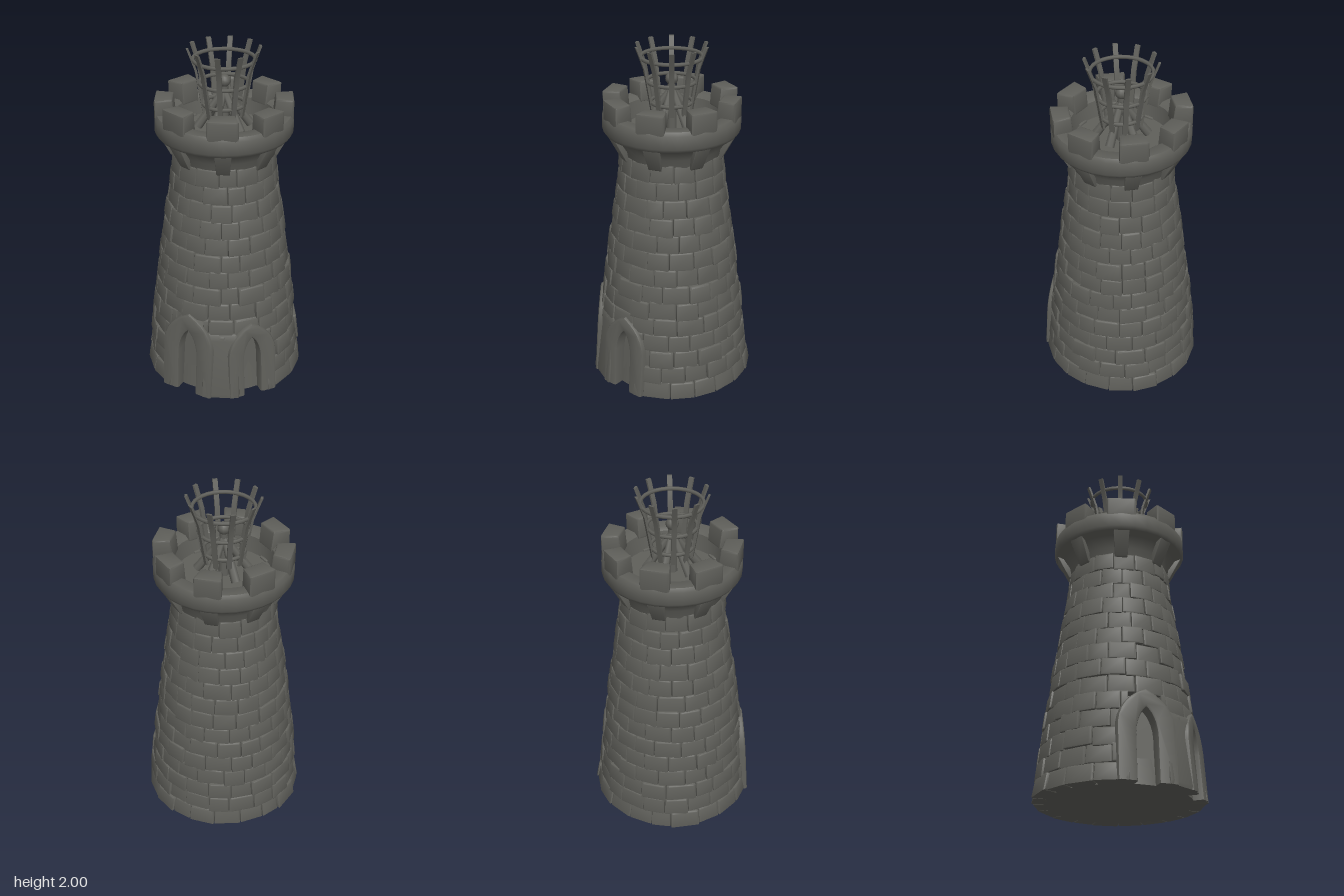
import * as THREE from 'three';
import { mergeGeometries, toCreasedNormals } from 'three/addons/utils/BufferGeometryUtils.js';

const stone = new THREE.MeshStandardMaterial({ color: 0x5f5f5a });
stone.name = 'dark stone';

const DEG = Math.PI / 180;
let seed = 7;
const rnd = () => ((seed = (seed * 16807) % 2147483647) / 2147483647);
const spread = (s) => (rnd() - 0.5) * 2 * s;

// Outer wall radius at a given height
const PROFILE = [[0, 0.475], [0.1, 0.457], [0.4, 0.425], [0.8, 0.374], [1.0, 0.345], [1.2, 0.312], [1.42, 0.289]];
function wallRadius(y) {
  for (let i = 1; i < PROFILE.length; i++) {
    const [y0, r0] = PROFILE[i - 1], [y1, r1] = PROFILE[i];
    if (y <= y1) return r0 + ((r1 - r0) * (y - y0)) / (y1 - y0);
  }
  return 0.289;
}

// Chamfered block bent around the tower axis (angle 0 faces +z, growing towards +x)
function curvedBlock(a0, a1, y0, y1, inner, outer, bevel = 0.12) {
  const geo = new THREE.BoxGeometry(2, 2, 2, 3, 3, 3);
  const p = geo.attributes.position;
  for (let i = 0; i < p.count; i++) {
    let c = [p.getX(i), p.getY(i), p.getZ(i)];
    const onEdge = c.filter((v) => Math.abs(v) > 0.9).length > 1;
    c = c.map((v) => Math.sign(v) * (Math.abs(v) > 0.9 ? (onEdge ? 1 - bevel * 0.45 : 1) : 1 - bevel * 1.6));
    const a = (a0 + a1) / 2 + (c[0] * (a1 - a0)) / 2;
    const y = (y0 + y1) / 2 + (c[1] * (y1 - y0)) / 2;
    const rOut = outer(y), rIn = inner(y);
    const r = (rIn + rOut) / 2 + (c[2] * (rOut - rIn)) / 2;
    p.setXYZ(i, r * Math.sin(a), Math.max(0, y), r * Math.cos(a));
  }
  return toCreasedNormals(geo, 0.75);
}

function addMesh(parent, name, geo) {
  const mesh = new THREE.Mesh(geo, stone);
  mesh.name = name;
  parent.add(mesh);
  return mesh;
}

const DOORS = [
  { name: 'frontDoorway', angle: 17 * DEG, outer: 0.15, inner: 0.072, top: 0.505, open: 0.43 },
  { name: 'sideDoorway', angle: 68 * DEG, outer: 0.135, inner: 0.065, top: 0.455, open: 0.4 },
];

// Courses of staggered bricks, cut away at the doorways
function brickWall() {
  const bricks = [];
  const rows = 14, h = 0.1;
  for (let row = 0; row < rows; row++) {
    const y0 = row * h, n = Math.round(20 - row * 0.35);
    const step = (Math.PI * 2) / n, shift = (row % 2) * 0.5 + spread(0.15);
    const cuts = Array.from({ length: n }, (_, i) => (i + shift + spread(0.16)) * step);
    const rough = 0.009 - row * 0.0004;
    for (let i = 0; i < n; i++) {
      let a0 = cuts[i], a1 = i < n - 1 ? cuts[i + 1] : cuts[0] + Math.PI * 2;
      const bump = spread(rough);
      const lift = spread(0.006);
      let pieces = [[a0, a1]];
      for (const d of DOORS) {
        if (y0 + 0.02 > d.open) continue;
        const half = (d.inner + 0.015) / 0.4;
        for (const turn of [0, Math.PI * 2]) {
          const lo = d.angle - half + turn, hi = d.angle + half + turn;
          pieces = pieces.flatMap(([s, e]) =>
            e <= lo || s >= hi ? [[s, e]] : [[s, Math.min(e, lo)], [Math.max(s, hi), e]]);
        }
      }
      for (const [s, e] of pieces) {
        if (e - s < 0.03) continue;
        bricks.push(curvedBlock(s, e, y0 + (row ? lift - 0.003 : 0), y0 + h + lift + 0.003,
          (y) => wallRadius(y) - 0.09, (y) => wallRadius(y) + bump + 0.004));
      }
    }
  }
  return mergeGeometries(bricks);
}

// Pointed arch outline from left foot to right foot
function archPoints(w, h) {
  const path = new THREE.Path();
  path.moveTo(-w, 0);
  path.lineTo(-w, h * 0.62);
  path.quadraticCurveTo(-w * 0.9, h * 0.88, 0, h);
  path.quadraticCurveTo(w * 0.9, h * 0.88, w, h * 0.62);
  path.lineTo(w, 0);
  return path.getPoints(6);
}

function leaningExtrude(points, z, depth, bevel) {
  const geo = new THREE.ExtrudeGeometry(new THREE.Shape(points), {
    depth, bevelEnabled: bevel > 0, bevelSize: bevel, bevelThickness: bevel, bevelSegments: 2,
  });
  const p = geo.attributes.position;
  for (let i = 0; i < p.count; i++) {
    const y = Math.max(0, p.getY(i));
    p.setXYZ(i, p.getX(i), y, p.getZ(i) + z - 0.07 * y);
  }
  return toCreasedNormals(geo, 0.7);
}

function doorway(d) {
  const group = new THREE.Group();
  group.name = d.name;
  group.rotation.y = d.angle;
  const outline = [...archPoints(d.outer, d.top), ...archPoints(d.inner, d.open).reverse()];
  addMesh(group, 'archFrame', leaningExtrude(outline, 0.35, 0.103, 0.014));
  addMesh(group, 'doorPanel', leaningExtrude(archPoints(d.inner + 0.005, d.open), 0.36, 0.035, 0));
  addMesh(group, 'doorLeaf', leaningExtrude(archPoints(d.inner - 0.018, d.open - 0.035), 0.39, 0.012, 0));
  return group;
}

// Solid core, flared collar, parapet ring and roof floor in one turned profile
function towerCore() {
  const pts = [[0, 0], [0.41, 0], [0.365, 0.4], [0.32, 0.8], [0.262, 1.2], [0.27, 1.34], [0.288, 1.38], [0.3, 1.44],
    [0.34, 1.5], [0.378, 1.515], [0.391, 1.535], [0.391, 1.61], [0.378, 1.632], [0.31, 1.632],
    [0.288, 1.615], [0.272, 1.52], [0, 1.52]];
  const geo = new THREE.LatheGeometry(pts.map(([r, y]) => new THREE.Vector2(r, y)), 32);
  return toCreasedNormals(geo, 0.7);
}

function ringOf(count, make) {
  return mergeGeometries(Array.from({ length: count }, (_, i) => make((i / count) * Math.PI * 2)));
}

// Iron basket: curved flat bars and three hoops
function basket() {
  const group = new THREE.Group();
  group.name = 'fireBasket';
  const radius = (y) => 0.112 + (y - 1.62) * 0.17 + Math.max(0, y - 1.88) * 0.2;
  addMesh(group, 'basketBars', ringOf(10, (a) => {
    const geo = new THREE.BoxGeometry(0.028, 0.38, 0.013, 1, 6, 1);
    geo.translate(0, 1.81, 0);
    const p = geo.attributes.position;
    for (let i = 0; i < p.count; i++) {
      const y = p.getY(i);
      p.setZ(i, p.getZ(i) + radius(y));
    }
    geo.rotateY(a + Math.PI);
    geo.computeVertexNormals();
    return geo;
  }));
  for (const y of [1.68, 1.8, 1.935]) {
    const hoop = new THREE.TorusGeometry(radius(y) - 0.006, 0.011, 6, 30);
    hoop.rotateX(Math.PI / 2);
    hoop.translate(0, y, 0);
    addMesh(group, 'basketHoop', hoop);
  }
  // Splayed logs around a knobbed post
  addMesh(group, 'logs', ringOf(6, (a) => {
    const log = new THREE.CylinderGeometry(0.018, 0.026, 0.27, 7);
    log.rotateX(-0.62);
    log.translate(0, 1.66, 0.07);
    return log.rotateY(a + 0.42);
  }));
  addMesh(group, 'post', new THREE.CylinderGeometry(0.022, 0.03, 0.3, 8)).position.y = 1.66;
  const knob = addMesh(group, 'knob', new THREE.SphereGeometry(0.036, 10, 8));
  knob.position.y = 1.81;
  return group;
}

export function createModel() {
  seed = 7;
  const model = new THREE.Group();
  model.name = 'watchtower';
  addMesh(model, 'towerCore', towerCore());
  addMesh(model, 'brickWall', brickWall());
  DOORS.forEach((d) => model.add(doorway(d)));

  // Buttress between the two doorways
  addMesh(model, 'buttress', curvedBlock(30 * DEG, 57 * DEG, -0.02, 0.42,
    () => 0.36, (y) => 0.488 - 0.05 * y - Math.max(0, y - 0.25) * 0.18));

  // Wedge corbels under the parapet
  addMesh(model, 'corbels', ringOf(8, (a) => curvedBlock(a - 0.125, a + 0.125, 1.375, 1.53,
    () => 0.26, (y) => 0.3 + Math.min(0.078, (y - 1.375) * 0.62), 0.08)));

  // Battlement blocks
  addMesh(model, 'merlons', ringOf(8, (a) => {
    const half = (12.5 + spread(1)) * DEG, top = 1.728 + spread(0.008);
    return curvedBlock(a - half, a + half, 1.6, top, (y) => 0.276 + (y - 1.6) * 0.1, () => 0.391, 0.13);
  }));

  model.add(basket());
  return model;
}
